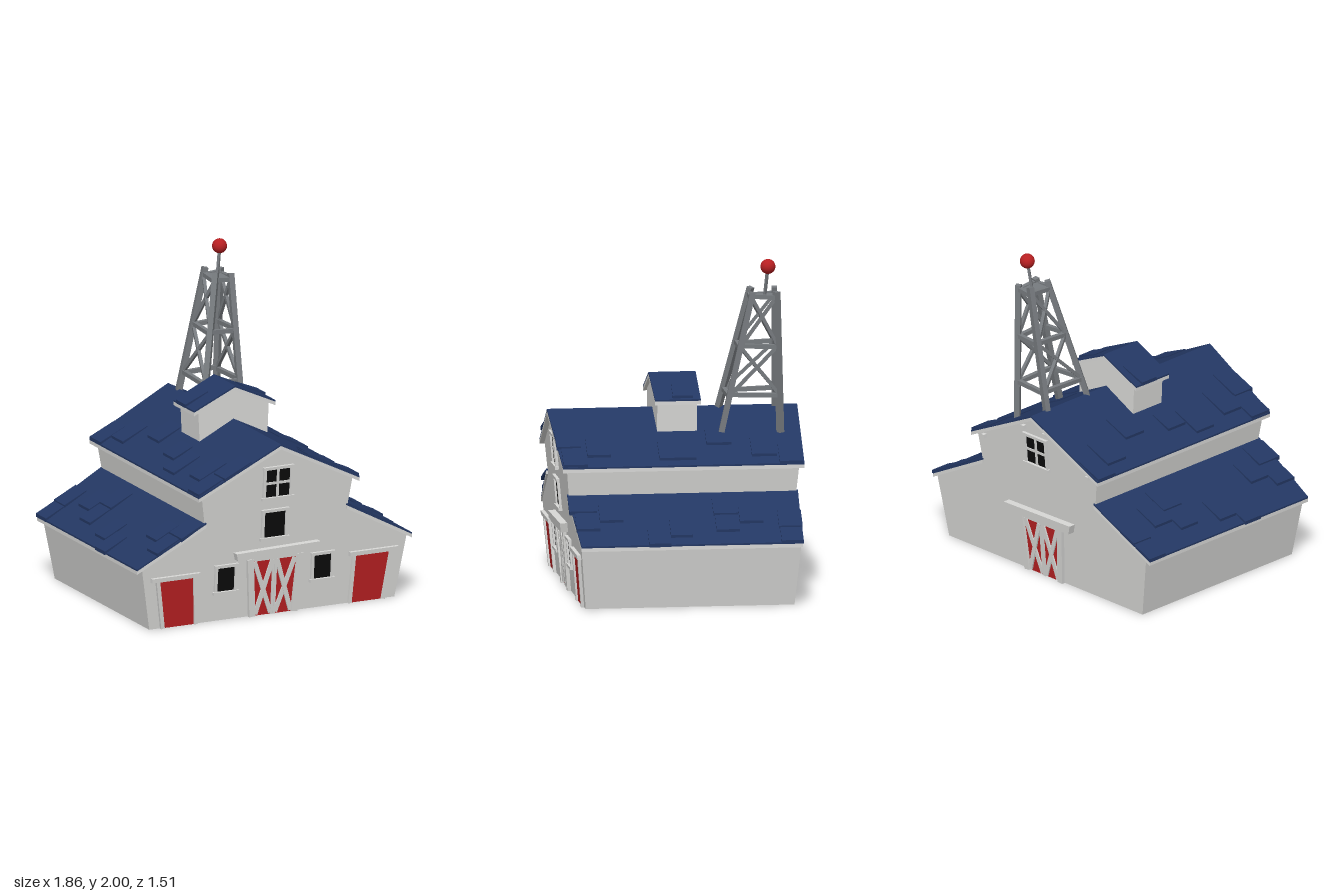
import * as THREE from 'three';

const mat = (name, color, side = THREE.FrontSide) => {
  const m = new THREE.MeshStandardMaterial({ color, side });
  m.name = name;
  return m;
};

export function createModel() {
  const white = mat('white paint', 0xd8d8d6, THREE.DoubleSide);
  const blue = mat('blue roofing', 0x233763);
  const red = mat('red paint', 0xb82022);
  const black = mat('black glass', 0x0b0b0b);
  const steel = mat('grey steel', 0x777b7f);

  const root = new THREE.Group();
  root.name = 'barn';
  const V = (x, y, z) => new THREE.Vector3(x, y, z);
  const lerp = THREE.MathUtils.lerp;

  const add = (parent, name, geo, material) => {
    const m = new THREE.Mesh(geo, material);
    m.name = name;
    parent.add(m);
    return m;
  };
  const group = (name) => {
    const g = new THREE.Group();
    g.name = name;
    root.add(g);
    return g;
  };

  // Flat-faced solid between two matching convex loops, always wound outwards
  const solid = (a, b) => {
    const tris = [];
    const n = a.length;
    for (let i = 0; i < n; i++) {
      const j = (i + 1) % n;
      tris.push([a[i], a[j], b[j]], [a[i], b[j], b[i]]);
      if (i > 0 && i < n - 1) tris.push([a[0], a[i + 1], a[i]], [b[0], b[i], b[i + 1]]);
    }
    const o = a[0];
    let vol = 0;
    for (const [p, q, r] of tris) {
      vol += p.clone().sub(o).dot(q.clone().sub(o).cross(r.clone().sub(o)));
    }
    const pts = tris.flatMap((t) => (vol < 0 ? [t[0], t[2], t[1]] : t));
    const g = new THREE.BufferGeometry().setFromPoints(pts);
    g.computeVertexNormals();
    return g;
  };

  // Walls lean outwards as they rise
  const wallZ = (y) => 0.63 + 0.09 * y;
  const half = [[0.82, 0], [0.885, 0.385], [0.475, 0.605], [0.505, 0.805], [0, 1.055]];
  const outline = [...half, ...half.slice(0, 4).reverse().map(([x, y]) => [-x, y])];
  const walls = group('walls');
  const gable = new THREE.ShapeGeometry(new THREE.Shape(outline.map((p) => new THREE.Vector2(...p))));
  const gp = gable.attributes.position;
  for (let i = 0; i < gp.count; i++) gp.setZ(i, wallZ(gp.getY(i)));
  gable.computeVertexNormals();
  add(walls, 'frontWall', gable, white);
  add(walls, 'backWall', gable.clone().rotateY(Math.PI), white);
  for (const s of [1, -1]) {
    for (const [i, name] of [[0, 'lowerSideWall'], [2, 'upperSideWall']]) {
      const [[x0, y0], [x1, y1]] = [half[i], half[i + 1]];
      const a = V(s * x0, y0, wallZ(y0)), b = V(s * x0, y0, -wallZ(y0));
      const c = V(s * x1, y1, -wallZ(y1)), d = V(s * x1, y1, wallZ(y1));
      const g = new THREE.BufferGeometry().setFromPoints(s > 0 ? [a, b, c, a, c, d] : [a, c, b, a, d, c]);
      g.computeVertexNormals();
      add(walls, name, g, white);
    }
  }

  // One roof slope: white board, blue skin and raised shingle patches [x0, x1, z0, z1]
  const slope = (parent, s, { x0, y0, z0, x1, y1, z1 }, patches) => {
    const sheet = (lo) => [V(s * x0, y0 + lo, z0), V(s * x1, y1 + lo, z1),
      V(s * x1, y1 + lo, -z1), V(s * x0, y0 + lo, -z0)];
    add(parent, 'roofBoard', solid(sheet(-0.032), sheet(-0.01)), white);
    add(parent, 'roofSkin', solid(sheet(-0.01), sheet(0)), blue);
    for (const [a, b, c, d] of patches) {
      const y = (x) => lerp(y0, y1, (x - x0) / (x1 - x0));
      const quad = (up, down) => [V(s * a, y(a) + up, c), V(s * b, y(b) + down, c + 0.008),
        V(s * b, y(b) + down, d), V(s * a, y(a) + up, d - 0.008)];
      add(parent, 'shinglePatch', solid(quad(-0.006, -0.006), quad(0.006, 0.016)), blue);
    }
  };
  const upper = { x0: 0, y0: 1.08, z0: 0.755, x1: 0.537, y1: 0.81, z1: 0.728 };
  const lower = { x0: 0.47, y0: 0.637, z0: 0.697, x1: 0.92, y1: 0.395, z1: 0.668 };
  const cap = { x0: 0, y0: 1.29, z0: 0.142, x1: 0.272, y1: 1.165, z1: 0.138 };
  const upperPatches = [[0.37, 0.54, -0.73, -0.58], [0.3, 0.47, -0.58, -0.42], [0.2, 0.36, -0.32, -0.16],
    [0.27, 0.45, 0.42, 0.57], [0.19, 0.37, 0.59, 0.745], [0.36, 0.535, 0.57, 0.725]];
  const lowerPatches = [[0.78, 0.925, -0.68, -0.54], [0.65, 0.8, -0.69, -0.54], [0.6, 0.75, -0.46, -0.31],
    [0.68, 0.82, -0.31, -0.16], [0.53, 0.68, -0.32, -0.16], [0.71, 0.86, -0.02, 0.12],
    [0.78, 0.93, 0.12, 0.26], [0.57, 0.72, 0.38, 0.53], [0.64, 0.79, 0.53, 0.68], [0.5, 0.64, 0.53, 0.705]];
  const roof = group('roof');
  for (const s of [1, -1]) {
    const own = s > 0 ? [[0.3, 0.49, -0.09, 0.14]] : [[0.28, 0.41, -0.01, 0.14], [0.31, 0.49, 0.15, 0.3]];
    slope(roof, s, upper, [...upperPatches, ...own]);
    slope(roof, s, lower, lowerPatches);
  }

  // Cupola on the ridge
  const cupola = group('cupola');
  const face = (z) => [[-0.225, 0.92], [0.225, 0.92], [0.236, 1.16], [0, 1.268], [-0.236, 1.16]]
    .map(([x, y]) => V(x, y, z));
  add(cupola, 'cupolaWalls', solid(face(-0.12), face(0.12)), white);
  slope(cupola, 1, cap, [[0.12, 0.26, -0.1, 0.03]]);
  slope(cupola, -1, cap, [[0.12, 0.277, -0.1, 0.03]]);

  // Flat pieces laid on the leaning end wall
  const plate = (parent, name, pts, out, material, from = -0.004) => {
    const at = (d) => pts.map(([x, y]) => V(x, y, wallZ(y) + d));
    return add(parent, name, solid(at(from), at(out)), material);
  };
  const bar = (parent, name, x0, y0, x1, y1, w, out) => {
    const l = Math.hypot(x1 - x0, y1 - y0);
    const nx = (-(y1 - y0) / l) * w / 2, ny = ((x1 - x0) / l) * w / 2;
    plate(parent, name, [[x0 + nx, y0 + ny], [x0 - nx, y0 - ny], [x1 - nx, y1 - ny], [x1 + nx, y1 + ny]], out, white);
  };
  const windowAt = (parent, x0, x1, y0, y1, cross) => {
    plate(parent, 'windowGlass', [[x0, y0], [x1, y0], [x1, y1], [x0, y1]], 0.004, black);
    const f = 0.018;
    for (const x of [x0 - f / 2, x1 + f / 2]) bar(parent, 'windowFrame', x, y0, x, y1, f, 0.016);
    bar(parent, 'windowSill', x0 - 0.026, y0 - f / 2, x1 + 0.026, y0 - f / 2, f, 0.024);
    bar(parent, 'windowHead', x0 - 0.022, y1 + f / 2, x1 + 0.022, y1 + f / 2, f, 0.02);
    if (cross) {
      const xm = (x0 + x1) / 2, ym = (y0 + y1) / 2;
      bar(parent, 'windowMullion', xm, y0, xm, y1, 0.016, 0.01);
      bar(parent, 'windowMullion', x0, ym, x1, ym, 0.016, 0.01);
    }
  };
  const crossDoor = (parent) => {
    plate(parent, 'doorPanel', [[-0.125, 0], [0.125, 0], [0.145, 0.35], [-0.145, 0.35]], 0.005, red);
    for (const s of [1, -1]) {
      bar(parent, 'doorPost', s * 0.14, 0, s * 0.167, 0.365, 0.04, 0.022);
      bar(parent, 'doorBrace', s * 0.015, 0.01, s * 0.135, 0.345, 0.028, 0.013);
      bar(parent, 'doorBrace', s * 0.015, 0.345, s * 0.118, 0.01, 0.028, 0.015);
      bar(parent, 'doorMiddle', s * 0.008, 0, s * 0.008, 0.35, 0.014, 0.014);
    }
    bar(parent, 'doorHead', -0.16, 0.36, 0.16, 0.36, 0.022, 0.017);
    plate(parent, 'doorTrack', [[-0.265, 0.375], [0.27, 0.375], [0.285, 0.432], [-0.275, 0.42]], 0.045, white);
  };

  // Front: centre door, two side doors, four windows
  const front = group('frontDetails');
  crossDoor(front);
  windowAt(front, -0.08, 0.08, 0.745, 0.92, true);
  windowAt(front, -0.08, 0.06, 0.49, 0.65, false);
  for (const s of [1, -1]) {
    windowAt(front, Math.min(s * 0.265, s * 0.38), Math.max(s * 0.265, s * 0.38), 0.185, 0.335, false);
    plate(front, 'sideDoor', [[s * 0.525, 0], [s * 0.725, 0], [s * 0.768, 0.3], [s * 0.542, 0.3]], 0.006, red);
    bar(front, 'sideDoorPost', s * 0.515, 0, s * 0.532, 0.3, 0.022, 0.018);
    bar(front, 'sideDoorPost', s * 0.736, 0, s * 0.78, 0.3, 0.024, 0.018);
    bar(front, 'sideDoorHead', s * 0.5, 0.313, s * 0.825, 0.313, 0.026, 0.024);
  }

  // Back: door, window and purlin ends
  const back = group('backDetails');
  back.rotation.y = Math.PI;
  crossDoor(back);
  windowAt(back, -0.08, 0.08, 0.745, 0.92, true);
  for (const x of [-0.44, -0.09, 0.09, 0.44]) {
    const y = 1.02 - Math.abs(x) * 0.5;
    bar(back, 'purlinEnd', x - 0.012, y, x + 0.012, y, 0.024, 0.025);
  }

  // Leaning lattice tower
  const tower = group('tower');
  const beam = (name, a, b, w) => {
    const m = add(tower, name, new THREE.BoxGeometry(w, w, a.distanceTo(b)), steel);
    m.position.copy(a).lerp(b, 0.5);
    m.lookAt(b);
  };
  const legs = [
    [V(-0.005, 1.03, -0.27), V(0.168, 1.82, -0.452)],
    [V(0.252, 0.96, -0.265), V(0.268, 1.805, -0.452)],
    [V(0.252, 0.95, -0.62), V(0.268, 1.805, -0.595)],
    [V(-0.005, 1.03, -0.62), V(0.168, 1.82, -0.595)],
  ];
  const onLeg = (i, y) => {
    const [a, b] = legs[i];
    return a.clone().lerp(b, (y - a.y) / (b.y - a.y));
  };
  legs.forEach(([a, b]) => beam('towerLeg', a, b, 0.034));
  const levels = [1.18, 1.475, 1.775];
  levels.forEach((y) => {
    for (let i = 0; i < 4; i++) beam('towerRail', onLeg(i, y + 0.005), onLeg((i + 1) % 4, y - 0.005), 0.026);
  });
  for (const [p, q] of [[1, 2], [0, 3]]) {
    for (let k = 0; k < 2; k++) {
      beam('towerBrace', onLeg(p, levels[k]), onLeg(q, levels[k + 1]), 0.02);
      beam('towerBrace', onLeg(q, levels[k]), onLeg(p, levels[k + 1]), 0.02);
    }
  }
  add(tower, 'towerCap', new THREE.BoxGeometry(0.1, 0.014, 0.14), steel).position.set(0.215, 1.775, -0.523);
  beam('antennaRod', V(0.217, 1.77, -0.53), V(0.24, 1.94, -0.545), 0.015);
  add(tower, 'beaconBall', new THREE.SphereGeometry(0.045, 24, 16), red).position.set(0.241, 1.955, -0.547);

  return root;
}
